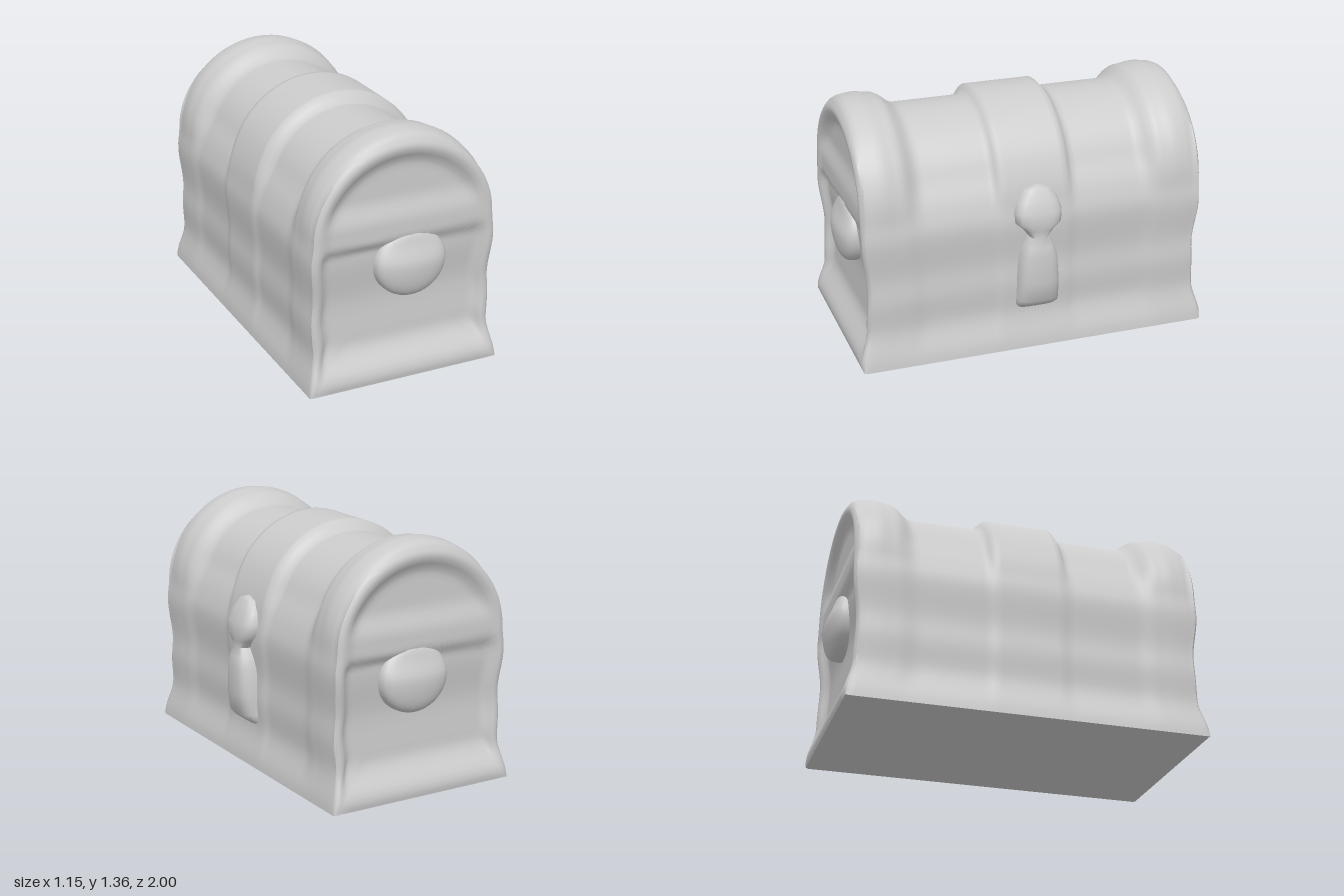
import * as THREE from 'three';
import { toCreasedNormals } from 'three/addons/utils/BufferGeometryUtils.js';

const CX = -0.027; // chest middle in x
const smooth = THREE.MathUtils.smoothstep;

// eased lookup in a short list of [key, value] pairs
function table(rows, k) {
  if (k <= rows[0][0]) return rows[0][1];
  for (let i = 1; i < rows.length; i++) {
    const [a, va] = rows[i - 1], [b, vb] = rows[i];
    if (k <= b) return va + (vb - va) * smooth(k, a, b);
  }
  return rows[rows.length - 1][1];
}

// half width and half length by height, and lid inset along the length
const WIDTH = [[0, 0.548], [0.22, 0.512], [0.37, 0.52], [0.5, 0.512], [0.72, 0.527], [0.85, 0.515]];
const LENGTH = [[0, 0.995], [0.025, 0.985], [0.22, 0.942], [0.45, 0.932], [0.72, 0.958], [0.9, 0.957], [1.36, 0.955]];
const INSET = [[0, 0.025], [0.185, 0.025], [0.225, 0.08], [0.61, 0.08], [0.73, 0.012], [0.82, 0], [0.88, 0.006], [0.955, 0.03]];

// closed outline, counterclockwise seen from +z
function outline() {
  const pts = [];
  const side = 24, arch = 40, floor = 12, w0 = WIDTH[0][1];
  for (let i = 0; i < floor; i++) pts.push([-w0 + 2 * w0 * i / floor, 0]);
  for (let i = 0; i < side; i++) {
    const y = 0.85 * i / side;
    pts.push([table(WIDTH, y), y]);
  }
  for (let i = 0; i <= arch; i++) {
    const a = Math.PI * i / arch;
    pts.push([0.515 * Math.cos(a), 0.85 + 0.512 * Math.sin(a)]);
  }
  for (let i = side - 1; i > 0; i--) {
    const y = 0.85 * i / side;
    pts.push([-table(WIDTH, y), y]);
  }
  return pts;
}

// joins rings of equal length into a skin
function skin(rings, crease) {
  const n = rings[0].length, index = [];
  for (let r = 0; r < rings.length - 1; r++)
    for (let i = 0; i < n; i++) {
      const j = (i + 1) % n;
      const a = r * n + i, b = a + n, c = (r + 1) * n + j, d = r * n + j;
      index.push(a, b, c, a, c, d);
    }
  const g = new THREE.BufferGeometry();
  g.setAttribute('position', new THREE.Float32BufferAttribute(rings.flat(2), 3));
  g.setIndex(index);
  return toCreasedNormals(g, crease);
}

// end panel: sunk inside a raised rim, with the lid lip standing out across it
function endRing(pts, s, sign) {
  const inset = 0.03;
  return pts.map(([px, py]) => {
    const k = py > 0.85 ? 1 - inset * (py - 0.85) / 0.51 : 1;
    const x = px * k * s, y = 0.6 + (py * k - 0.6) * s;
    const sunk = 0.045 * smooth(1 - s, 0.06, 0.19) * smooth(y, 0.05, 0.25);
    const lip = smooth(y, 0.73, 0.8) * (1 - smooth(y, 0.88, 1.02));
    const round = 0.016 * smooth(s, 0.95, 1);
    return [CX + x, y, sign * (table(LENGTH, y) - sunk * (1 - 0.7 * lip) - round)];
  });
}

// body ring at a station along the length, pulled in between the lid bands
function bodyRing(pts, v) {
  const inset = table(INSET, Math.abs(v));
  return pts.map(([px, py]) => {
    const f = inset * (0.2 + 0.8 * smooth(py, 0.75, 1.05)) * smooth(py, 0, 0.25);
    const up = Math.max(0, py - 0.85);
    const l = Math.hypot(px, up) || 1;
    const z = v * table(LENGTH, py) / 0.955;
    return [CX + px - f * px / l, py - f * up / l, z];
  });
}

function chestGeometry() {
  const pts = outline();
  const scales = [];
  for (let i = 0; i <= 24; i++) scales.push(0.96 * i / 24);
  scales.push(0.98, 0.993);
  const stations = [];
  for (let i = 0; i <= 72; i++) stations.push(0.925 * (1 - i / 36));
  return skin([
    ...scales.map(s => endRing(pts, s, 1)),
    ...stations.map(v => bodyRing(pts, v)),
    ...scales.reverse().map(s => endRing(pts, s, -1)),
  ], 0.95);
}

// latch: rounded sections stacked upward as [height, half width, outer x]
function latchGeometry() {
  const rows = [
    [0.235, 0.0, 0.48], [0.235, 0.11, 0.495], [0.26, 0.122, 0.53], [0.29, 0.12, 0.555],
    [0.4, 0.118, 0.57], [0.55, 0.105, 0.572], [0.61, 0.085, 0.565], [0.66, 0.055, 0.55],
    [0.7, 0.085, 0.556], [0.74, 0.13, 0.562], [0.8, 0.135, 0.555], [0.86, 0.115, 0.53],
    [0.92, 0.07, 0.5], [0.94, 0.0, 0.48],
  ];
  const n = 24, back = 0.44;
  const soft = t => Math.sign(t) * Math.pow(Math.abs(t), 0.55);
  return skin(rows.map(([y, w, x]) => Array.from({ length: n }, (_, i) => {
    const a = -2 * Math.PI * i / n;
    return [back + (x - back) * Math.max(0, soft(Math.cos(a))), y, -0.005 + w * soft(Math.sin(a))];
  })), 0.9);
}

// handle: a rounded shield, flat on its face and fullest near the bottom
function handleGeometry() {
  const g = new THREE.SphereGeometry(1, 32, 24);
  const p = g.attributes.position;
  for (let i = 0; i < p.count; i++) {
    const x = p.getX(i), y = p.getY(i), z = p.getZ(i);
    const depth = 0.1 - 0.03 * smooth(y, -0.1, 0.7);
    const face = Math.sign(z) * Math.pow(Math.abs(z), 0.6);
    p.setXYZ(i, x * 0.205, y * (y < 0 ? 0.195 : 0.17), face * depth);
  }
  g.computeVertexNormals();
  return g;
}

export function createModel() {
  const group = new THREE.Group();
  const material = new THREE.MeshStandardMaterial({ color: 0xcccccc, side: THREE.DoubleSide });
  const add = (name, geometry) => {
    const mesh = new THREE.Mesh(geometry, material);
    mesh.name = name;
    group.add(mesh);
    return mesh;
  };
  add('chestBody', chestGeometry());
  add('latch', latchGeometry());
  for (const side of [1, -1]) {
    const handle = add(side > 0 ? 'frontHandle' : 'backHandle', handleGeometry());
    handle.position.set(0.015, 0.65, side * 0.9);
    if (side < 0) handle.rotation.y = Math.PI;
  }
  return group;
}
